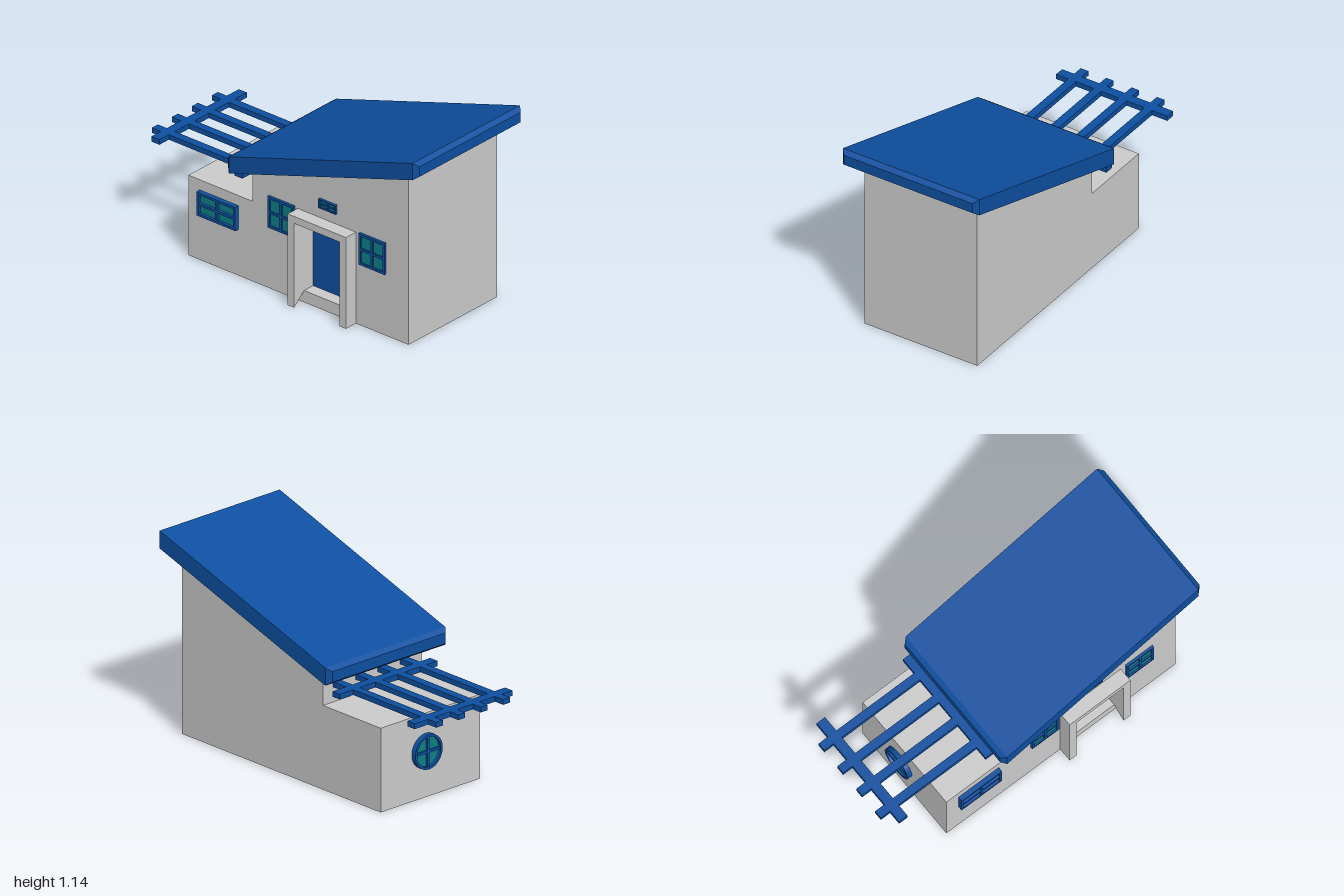
import * as THREE from 'three';

const grey = new THREE.MeshStandardMaterial({ color: 0xcccccc, flatShading: true });
const blue = new THREE.MeshStandardMaterial({ color: 0x0d4fa0, flatShading: true });
const teal = new THREE.MeshStandardMaterial({ color: 0x0b7f86, flatShading: true });

function add(parent, name, geometry, material, x = 0, y = 0, z = 0) {
  const mesh = new THREE.Mesh(geometry, material);
  mesh.name = name;
  mesh.position.set(x, y, z);
  parent.add(mesh);
  return mesh;
}

// Box given by its limits on each axis
function block(parent, name, material, [x0, x1], [y0, y1], [z0, z1]) {
  return add(parent, name, new THREE.BoxGeometry(x1 - x0, y1 - y0, z1 - z0), material,
    (x0 + x1) / 2, (y0 + y1) / 2, (z0 + z1) / 2);
}

const polygon = (pts) => new THREE.Shape(pts.map(([x, y]) => new THREE.Vector2(x, y)));
const rect = (x0, x1, y0, y1) => [[x0, y0], [x1, y0], [x1, y1], [x0, y1]];
const holePath = (pts) => new THREE.Path(pts.map(([x, y]) => new THREE.Vector2(x, y)));

// Side profile (z, y) of the house, extruded from x1 down to x0
function wallSlab(parent, name, x0, x1, hole) {
  const shape = polygon([[-0.65, 0], [0.88, 0], [0.88, 1.015], [-0.205, 0.668], [-0.205, 0.475], [-0.65, 0.475]]);
  if (hole) shape.holes.push(holePath(hole));
  const geo = new THREE.ExtrudeGeometry(shape, { depth: x1 - x0, bevelEnabled: false });
  geo.rotateY(-Math.PI / 2);
  add(parent, name, geo, grey, x1);
}

// Four-pane window, built facing +z with its back on z = 0
function paneWindow(name, w, h, depth) {
  const g = new THREE.Group();
  g.name = name;
  const bar = Math.min(0.014, h * 0.14);
  const shape = polygon(rect(-w / 2, w / 2, -h / 2, h / 2));
  for (const sx of [-1, 1]) for (const sy of [-1, 1]) {
    const xs = [sx * bar / 2, sx * (w / 2 - bar)].sort((a, b) => a - b);
    const ys = [sy * bar / 2, sy * (h / 2 - bar)].sort((a, b) => a - b);
    shape.holes.push(holePath(rect(...xs, ...ys)));
  }
  add(g, 'windowFrame', new THREE.ExtrudeGeometry(shape, { depth, bevelEnabled: false }), blue);
  add(g, 'windowGlass', new THREE.BoxGeometry(w - bar, h - bar, depth * 0.4), teal, 0, 0, depth * 0.2);
  return g;
}

// Round window with a cross, built facing +z
function roundWindow(radius, depth) {
  const g = new THREE.Group();
  g.name = 'roundWindow';
  const ring = new THREE.Shape().absarc(0, 0, radius, 0, Math.PI * 2);
  ring.holes.push(new THREE.Path().absarc(0, 0, radius - 0.014, 0, Math.PI * 2, true));
  add(g, 'roundFrame', new THREE.ExtrudeGeometry(ring, { depth, bevelEnabled: false, curveSegments: 24 }), blue);
  const glass = new THREE.CylinderGeometry(radius - 0.007, radius - 0.007, depth * 0.4, 24);
  glass.rotateX(Math.PI / 2);
  add(g, 'roundGlass', glass, teal, 0, 0, depth * 0.2);
  const length = 2 * radius - 0.02;
  add(g, 'crossBar', new THREE.BoxGeometry(length, 0.014, depth * 0.8), blue, 0, 0, depth * 0.4);
  add(g, 'crossBar', new THREE.BoxGeometry(0.014, length, depth * 0.8), blue, 0, 0, depth * 0.4);
  return g;
}

// Sloping roof slab whose two ends taper in
function roofGeometry() {
  const rings = [ // z, half width, bottom, top
    [-0.33, 0.405, 0.655, 0.715], [-0.303, 0.43, 0.635, 0.735],
    [0.973, 0.43, 1.04, 1.14], [1, 0.405, 1.06, 1.12],
  ];
  const geo = new THREE.BoxGeometry(1, 1, 3, 1, 1, 3);
  const p = geo.attributes.position;
  for (let i = 0; i < p.count; i++) {
    const [z, half, bottom, top] = rings[Math.round(p.getZ(i) + 1.5)];
    p.setXYZ(i, Math.sign(p.getX(i)) * half, p.getY(i) > 0 ? top : bottom, z);
  }
  geo.computeVertexNormals();
  return geo;
}

export function createModel() {
  const model = new THREE.Group();
  model.name = 'house';

  // Walls, with a doorway recess in the right side
  wallSlab(model, 'houseBody', -0.28, 0.355);
  wallSlab(model, 'doorwayWall', -0.355, -0.28, rect(0.155, 0.47, 0.07, 0.5));
  block(model, 'door', blue, [-0.283, -0.275], [0.07, 0.5], [0.155, 0.47]);

  add(model, 'roof', roofGeometry(), blue);

  // Porch surround; the inner foot of each jamb rises to the doorstep
  const porch = new THREE.Group();
  porch.name = 'porch';
  model.add(porch);
  for (const [z0, z1, inner] of [[0.11, 0.155, 1], [0.47, 0.515, -1]]) {
    const jamb = block(porch, 'jamb', grey, [-0.435, -0.355], [0, 0.5], [z0, z1]);
    const p = jamb.geometry.attributes.position;
    for (let i = 0; i < p.count; i++) {
      if (p.getX(i) > 0 && p.getY(i) < 0 && p.getZ(i) * inner > 0) p.setY(i, p.getY(i) + 0.07);
    }
  }
  block(porch, 'lintel', grey, [-0.435, -0.355], [0.5, 0.542], [0.11, 0.515]);

  // Windows on the right side: z centre, y centre, width, height, depth
  const windows = [
    [-0.435, 0.345, 0.27, 0.14, 0.028], [0.002, 0.459, 0.18, 0.185, 0.015],
    [0.635, 0.459, 0.18, 0.185, 0.015], [0.325, 0.632, 0.12, 0.053, 0.015],
  ];
  for (const [z, y, w, h, depth] of windows) {
    const win = paneWindow('sideWindow', w, h, depth);
    win.position.set(-0.355, y, z);
    win.rotation.y = -Math.PI / 2;
    model.add(win);
  }

  const round = roundWindow(0.098, 0.028);
  round.position.set(0.035, 0.263, -0.65);
  round.rotation.y = Math.PI;
  model.add(round);

  // Pergola over the low rear wing
  const pergola = new THREE.Group();
  pergola.name = 'pergola';
  model.add(pergola);
  for (const x of [-0.22, -0.06, 0.1, 0.26]) {
    block(pergola, 'slat', blue, [x - 0.024, x + 0.024], [0.56, 0.59], [-1, -0.205]);
  }
  for (const z of [-0.91, -0.333]) {
    block(pergola, 'crossRail', blue, [-0.32, 0.38], [0.56, 0.59], [z - 0.028, z + 0.028]);
  }
  return model;
}
